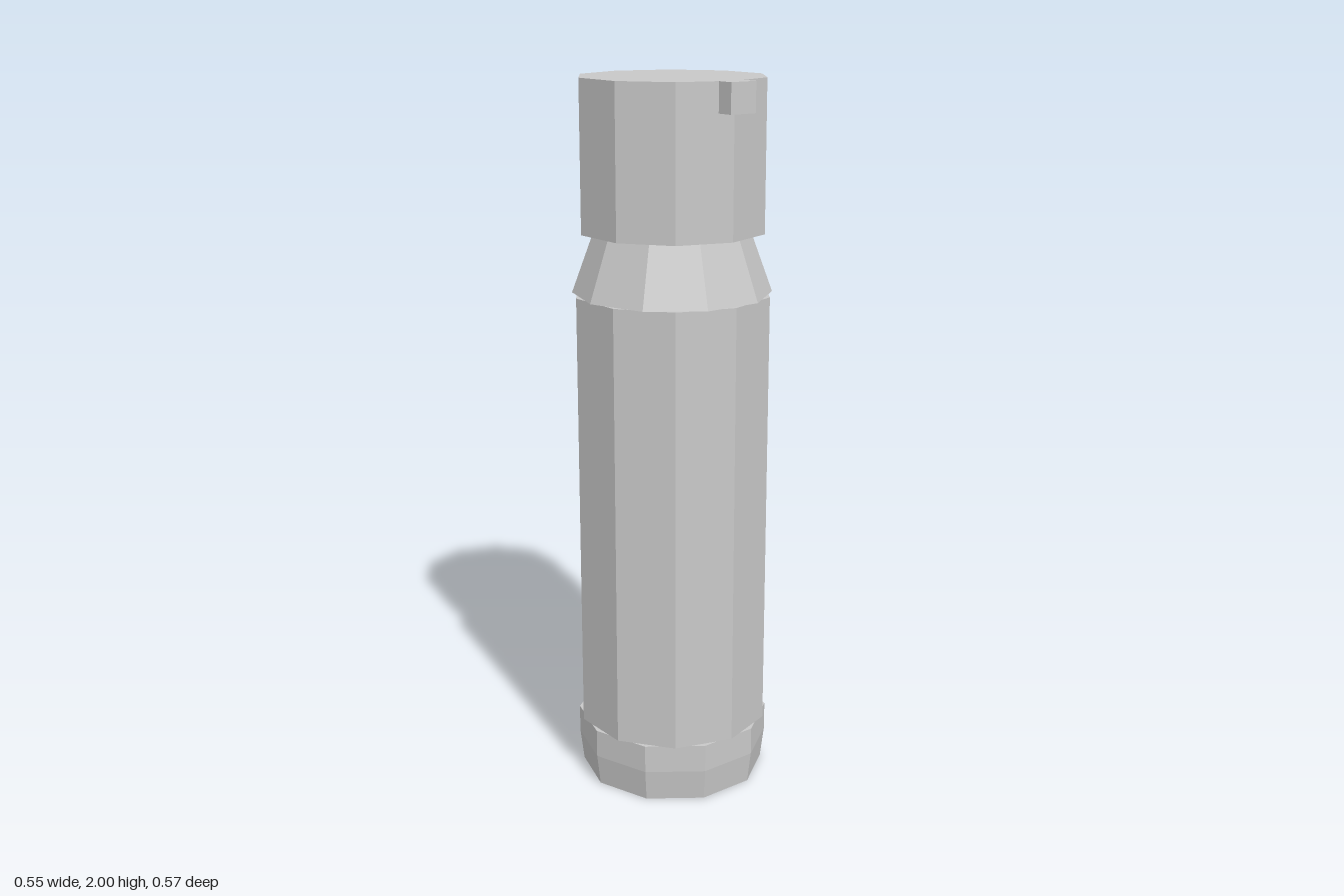
import * as THREE from 'three';

const SIDES = 10;
const AXIS_Z = -0.01; // the lug shifts the body slightly back
const HALF_STEP = Math.PI / SIDES;

export function createModel() {
  const model = new THREE.Group();
  model.name = 'canister';
  const grey = new THREE.MeshStandardMaterial({ color: 0xc8c8c8, flatShading: true });
  grey.name = 'grey';

  // Ten-sided solid turned from a [radius, height] profile, listed bottom to top
  function turned(name, profile, turn = 0) {
    const closed = [[0, profile[0][1]], ...profile, [0, profile[profile.length - 1][1]]];
    const points = closed.map(([r, y]) => new THREE.Vector2(r, y));
    const mesh = new THREE.Mesh(new THREE.LatheGeometry(points, SIDES, turn), grey);
    mesh.name = name;
    mesh.position.z = AXIS_Z;
    model.add(mesh);
  }

  // Base cup, narrowing towards the floor
  turned('base', [[0.264, 0], [0.275, 0.09], [0.275, 0.17]], HALF_STEP);
  // Long handle body, turned half a side against the base and collar
  turned('body', [[0.275, 0.17], [0.275, 1.42]]);
  // Tapered collar below the head
  turned('collar', [[0.275, 1.42], [0.213, 1.59]], HALF_STEP);
  // Head cylinder
  turned('head', [[0.258, 1.59], [0.258, 2]]);

  // Small lug on the front of the head, flush with its top
  const lug = new THREE.Mesh(new THREE.BoxGeometry(0.082, 0.08, 0.083), grey);
  lug.name = 'lug';
  lug.position.set(0, 1.96, 0.2415);
  model.add(lug);

  return model;
}
